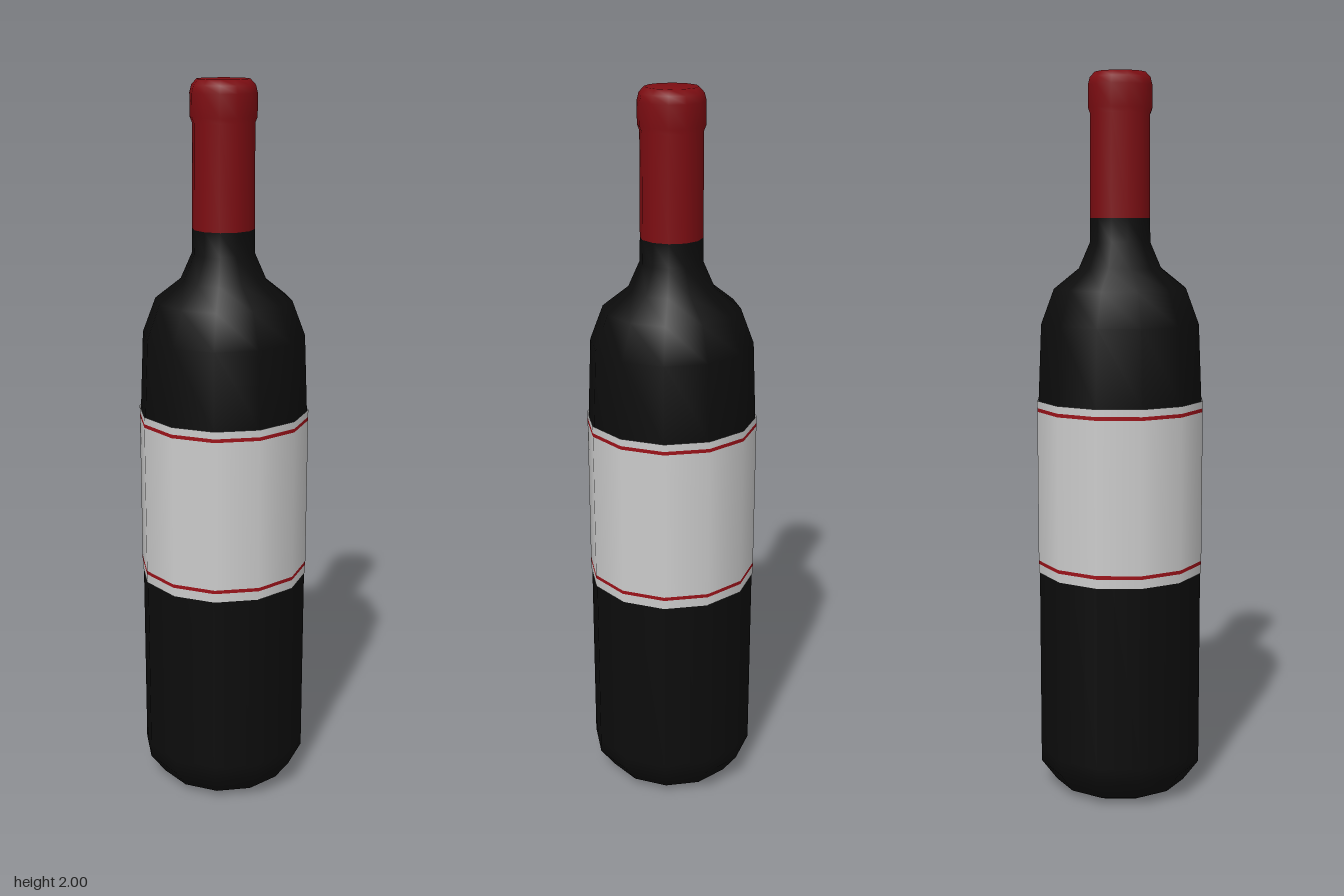
import * as THREE from 'three';

const SIDES = 12;

// Revolve a bottom-to-top profile of [radius, height] pairs
function revolve(name, color, profile) {
  const points = profile.map(([r, y]) => new THREE.Vector2(r, y));
  const mesh = new THREE.Mesh(
    new THREE.LatheGeometry(points, SIDES),
    new THREE.MeshStandardMaterial({ color, side: THREE.DoubleSide })
  );
  mesh.name = name;
  return mesh;
}

export function createModel() {
  const bottle = new THREE.Group();
  bottle.name = 'bottle';

  // Dark glass: base, straight body, shoulder and lower neck
  bottle.add(revolve('glassBody', 0x0c0c0c, [
    [0, 0], [0.145, 0], [0.188, 0.02], [0.232, 0.08], [0.232, 0.12],
    [0.232, 0.9], [0.231, 1.12], [0.222, 1.33], [0.186, 1.425],
    [0.116, 1.48], [0.085, 1.55], [0.084, 1.615],
  ]));

  // Foil capsule with a thicker lip and rounded top
  bottle.add(revolve('foilCapsule', 0x7d0d12, [
    [0.084, 1.615], [0.083, 1.89], [0.089, 1.905], [0.089, 1.965],
    [0.084, 1.985], [0.07, 2], [0, 2],
  ]));

  // Paper label in stacked bands, with a thin red stripe near each edge
  const label = new THREE.Group();
  label.name = 'label';
  const paper = 0xcccccc, red = 0x9c1219, r = 0.235;
  const bands = [
    ['lowerMargin', paper, 0.635, 0.66],
    ['lowerStripe', red, 0.66, 0.67],
    ['labelPaper', paper, 0.67, 1.09],
    ['upperStripe', red, 1.09, 1.1],
    ['upperMargin', paper, 1.1, 1.12],
  ];
  for (const [name, color, y0, y1] of bands) {
    label.add(revolve(name, color, [[r, y0], [r, y1]]));
  }
  bottle.add(label);

  return bottle;
}
